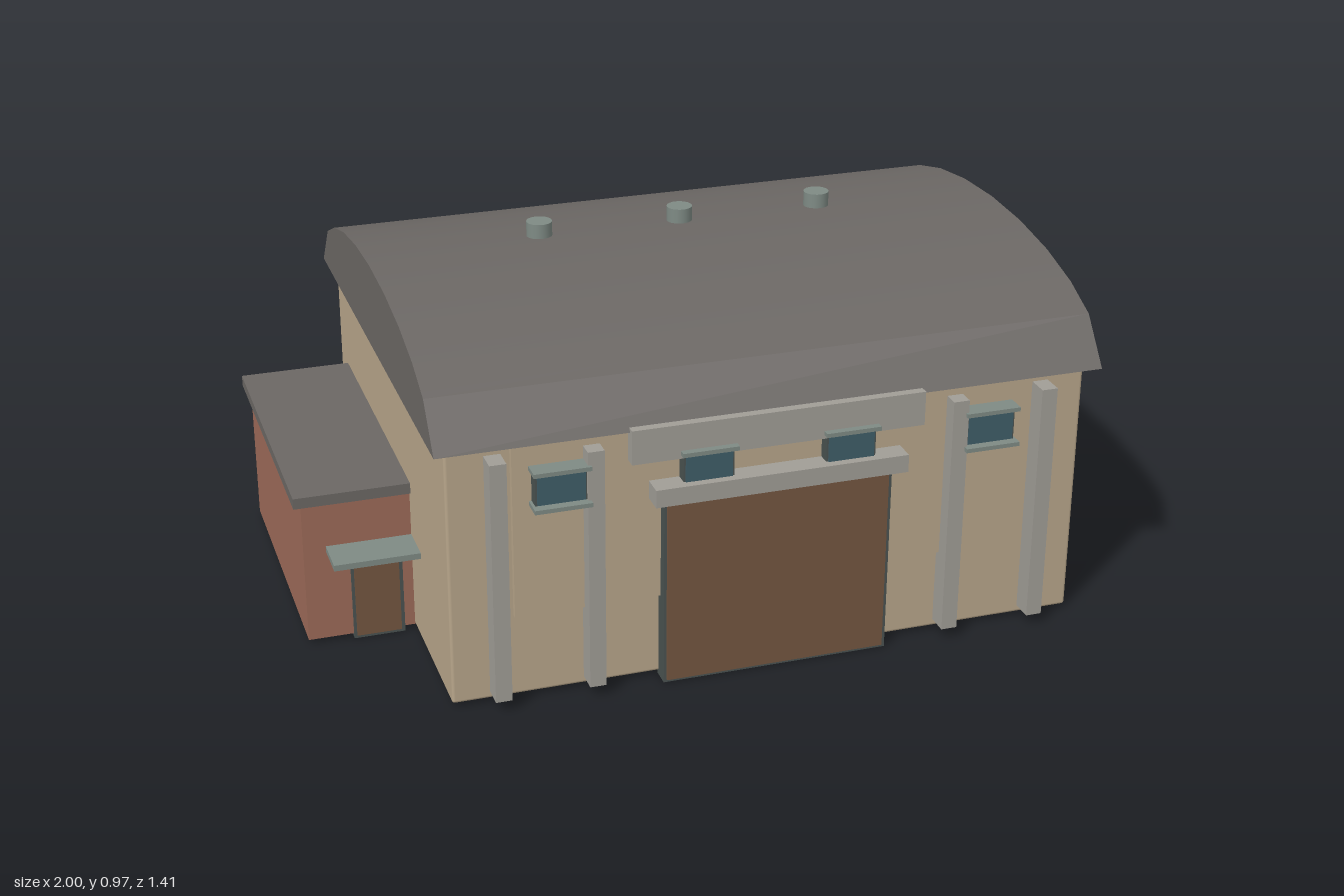
import * as THREE from 'three';
import { toCreasedNormals } from 'three/addons/utils/BufferGeometryUtils.js';
import { RoundedBoxGeometry } from 'three/addons/geometries/RoundedBoxGeometry.js';

const paint = (color) => new THREE.MeshStandardMaterial({ color });

export function createModel() {
  const model = new THREE.Group();
  const wall = paint(0xb7a58a), roofing = paint(0x6b6764), concrete = paint(0xa09d96);
  const brick = paint(0x9c6a58), wood = paint(0x735540), glass = paint(0x3f5d68);
  const metal = paint(0x7e8a84), frame = paint(0x4a5250);

  const add = (name, geometry, material, parent = model) => {
    const mesh = new THREE.Mesh(geometry, material);
    mesh.name = name;
    parent.add(mesh);
    return mesh;
  };
  // Box given by its extents along each axis
  const box = (name, material, [x0, x1], [y0, y1], [z0, z1], round = 0, parent = model) => {
    const size = [x1 - x0, y1 - y0, z1 - z0];
    const geometry = round ? new RoundedBoxGeometry(...size, 2, round) : new THREE.BoxGeometry(...size);
    const mesh = add(name, geometry, material, parent);
    mesh.position.set((x0 + x1) / 2, (y0 + y1) / 2, (z0 + z1) / 2);
    return mesh;
  };

  // Main hall and raised front panel
  box('hallWalls', wall, [-0.7, 0.965], [0.015, 0.715], [-0.67, 0.627], 0.008);
  box('frontPanel', wall, [-0.54, 0.8], [0.24, 0.715], [0.6, 0.643]);

  // Barrel roof: elliptical arc with straight eaves, extruded along x
  const profile = new THREE.Shape();
  profile.moveTo(0.682, 0);
  for (let a = 30; a <= 150; a += 15) {
    const t = THREE.MathUtils.degToRad(a);
    profile.lineTo(0.682 * Math.cos(t), 0.23 * Math.sin(t));
  }
  profile.lineTo(-0.682, 0);
  const roofGeometry = new THREE.ExtrudeGeometry(profile, { depth: 1.73, bevelEnabled: false });
  roofGeometry.rotateY(-Math.PI / 2).translate(1, 0.705, -0.0225);
  add('barrelRoof', toCreasedNormals(roofGeometry, 0.4), roofing);

  // Roof vents
  for (const x of [-0.257, 0.13, 0.52]) {
    add('roofVent', new THREE.CylinderGeometry(0.034, 0.034, 0.07, 24), metal).position.set(x, 0.936, -0.117);
  }

  // Pilasters on the front and on the left side
  for (const x of [-0.583, -0.342, 0.604, 0.845]) {
    box('frontPilaster', concrete, [x - 0.021, x + 0.021], [0.035, 0.68], [0.62, 0.685]);
  }
  for (const z of [0.395, -0.022, -0.44]) {
    box('sidePilaster', concrete, [0.95, 0.992], [0.015, 0.605], [z - 0.034, z + 0.034]);
  }

  // Main gate with frame, lintel and blank fascia
  box('gateFrame', frame, [-0.167, 0.43], [0.005, 0.512], [0.62, 0.67]);
  box('gate', wood, [-0.16, 0.42], [0.014, 0.503], [0.63, 0.677]);
  box('gateLintel', concrete, [-0.198, 0.46], [0.515, 0.562], [0.62, 0.702]);
  box('fascia', concrete, [-0.25, 0.51], [0.625, 0.715], [0.62, 0.675]);

  // Front windows with head and sill
  for (const x of [-0.427, -0.055, 0.315, 0.69]) {
    const group = new THREE.Group();
    group.name = 'window';
    model.add(group);
    box('windowFrame', frame, [x - 0.065, x + 0.065], [0.55, 0.636], [0.62, 0.676], 0, group);
    box('windowPane', glass, [x - 0.06, x + 0.06], [0.555, 0.632], [0.63, 0.68], 0, group);
    box('windowHead', metal, [x - 0.072, x + 0.072], [0.635, 0.646], [0.62, 0.694], 0, group);
    box('windowSill', metal, [x - 0.072, x + 0.072], [0.542, 0.553], [0.62, 0.7], 0, group);
  }

  // Side annex with slab roof, door and canopy
  box('annexWalls', brick, [-0.98, -0.68], [0.016, 0.41], [-0.56, 0.21]);
  box('annexRoof', roofing, [-1, -0.69], [0.403, 0.432], [-0.578, 0.224]);
  box('annexDoorFrame', frame, [-0.862, -0.728], [0.005, 0.24], [0.19, 0.218]);
  box('annexDoor', wood, [-0.855, -0.738], [0.014, 0.23], [0.2, 0.223]);
  box('annexCanopy', metal, [-0.922, -0.69], [0.264, 0.28], [0.2, 0.32]);

  return model;
}
